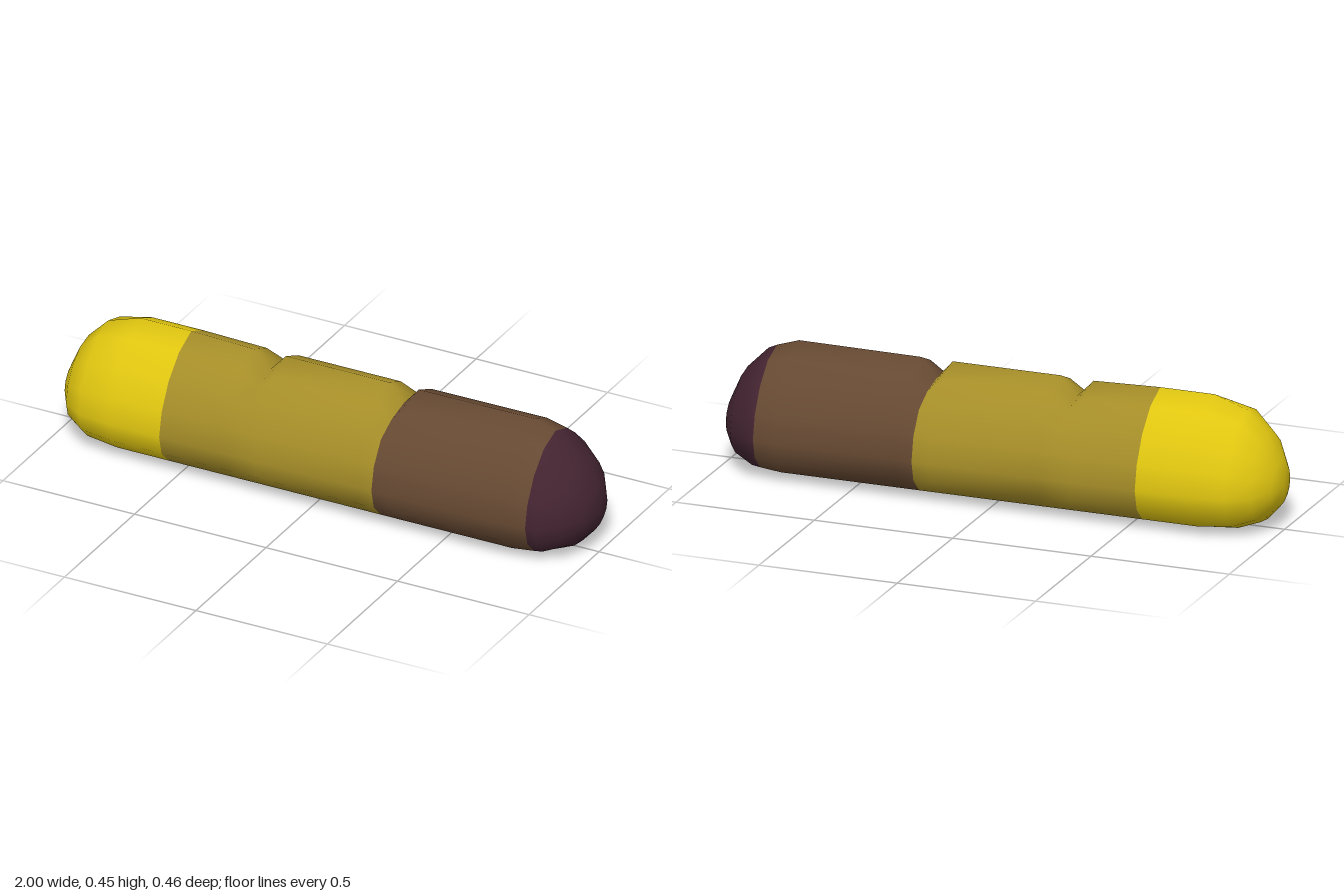
import * as THREE from 'three';

const SIDES = 16;
const mat = (name, color) => {
  const m = new THREE.MeshStandardMaterial({ color });
  m.name = name;
  return m;
};

// Height of a unit-circle coordinate v (-1..1): a tall top and a flattened base
const STEPS = [-1, -0.924, -0.707, -0.383, 0, 0.383, 0.707, 0.924, 1];
const HEIGHTS = [0.003, 0.009, 0.033, 0.083, 0.154, 0.24, 0.335, 0.41, 0.45];
function heightAt(v) {
  let i = 0;
  while (i < STEPS.length - 2 && v > STEPS[i + 1]) i++;
  const t = THREE.MathUtils.clamp((v - STEPS[i]) / (STEPS[i + 1] - STEPS[i]), 0, 1);
  return THREE.MathUtils.lerp(HEIGHTS[i], HEIGHTS[i + 1], t);
}

// Cross-sections along the body: x, scale, and highest point allowed
const RINGS = [
  [-1, 0], [-0.985, 0.383], [-0.94, 0.707], [-0.865, 0.924], [-0.745, 1],
  [-0.55, 1], [-0.31, 1, 0.442], [-0.25, 1, 0.38], [-0.19, 1, 0.446],
  [0.2, 1, 0.446], [0.257, 1, 0.38], [0.315, 1, 0.447],
  [0.755, 1], [0.835, 0.95], [0.865, 0.924], [0.94, 0.707], [0.985, 0.383], [1, 0],
];

function bodySurface() {
  const positions = [];
  for (const [x, s, top = 0.45] of RINGS) {
    for (let j = 0; j < SIDES; j++) {
      const a = (j / SIDES) * Math.PI * 2;
      let y = heightAt(s * Math.cos(a));
      // press the upper part down into the notch
      if (y > 0.3) y = 0.3 + (y - 0.3) * (top - 0.3) / 0.15;
      positions.push(x, y, s * 0.23 * Math.sin(a));
    }
  }
  const geo = new THREE.BufferGeometry();
  geo.setAttribute('position', new THREE.Float32BufferAttribute(positions, 3));
  geo.setIndex(strip(0, RINGS.length - 1));
  geo.computeVertexNormals();
  // the two end points face straight outward
  const n = geo.attributes.normal;
  for (let j = 0; j < SIDES; j++) {
    n.setXYZ(j, -1, 0, 0);
    n.setXYZ((RINGS.length - 1) * SIDES + j, 1, 0, 0);
  }
  return geo;
}

// Triangles joining rings first..last
function strip(first, last) {
  const index = [];
  for (let i = first; i < last; i++) {
    for (let j = 0; j < SIDES; j++) {
      const k = (j + 1) % SIDES;
      const a = i * SIDES + j, b = i * SIDES + k, c = a + SIDES, d = b + SIDES;
      if (RINGS[i][1] > 0) index.push(a, b, c);
      if (RINGS[i + 1][1] > 0) index.push(b, d, c);
    }
  }
  return index;
}

export function createModel() {
  const group = new THREE.Group();
  group.name = 'segmentedBar';
  const surface = bodySurface();
  const ringAt = (x) => RINGS.findIndex((r) => r[0] === x);

  // Coloured sections share one smooth surface
  const sections = [
    ['yellowEnd', -1, -0.55, mat('yellow', 0xe0c610)],
    ['oliveMiddle', -0.55, 0.257, mat('olive', 0xa58d28)],
    ['brownSection', 0.257, 0.835, mat('brown', 0x664932)],
    ['darkTip', 0.835, 1, mat('dark plum', 0x432431)],
  ];
  for (const [name, from, to, material] of sections) {
    const geo = new THREE.BufferGeometry();
    geo.setAttribute('position', surface.attributes.position);
    geo.setAttribute('normal', surface.attributes.normal);
    geo.setIndex(strip(ringAt(from), ringAt(to)));
    const mesh = new THREE.Mesh(geo, material);
    mesh.name = name;
    group.add(mesh);
  }
  return group;
}
